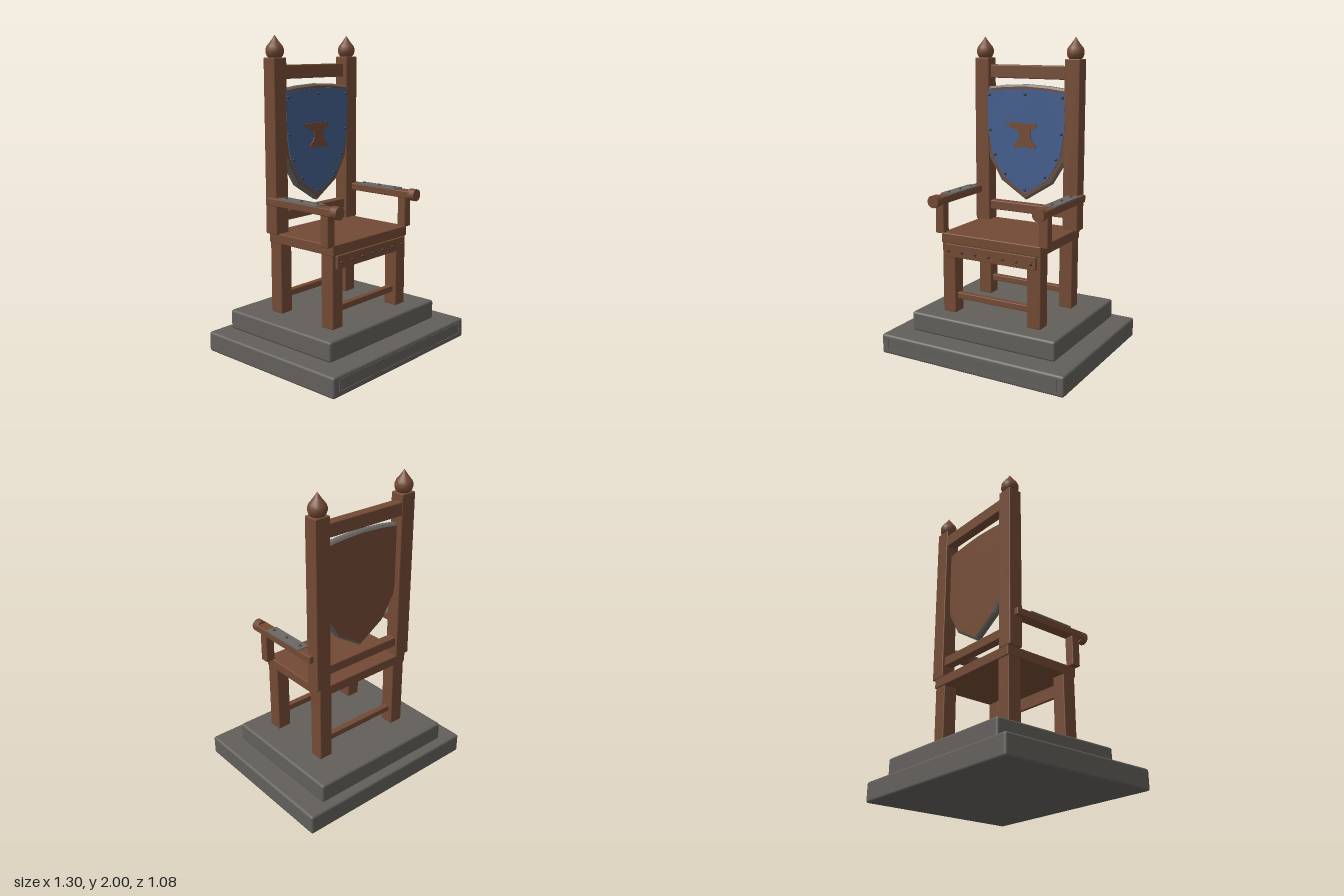
import * as THREE from 'three';
import { RoundedBoxGeometry } from 'three/addons/geometries/RoundedBoxGeometry.js';

const mat = (name, color, extra = {}) => {
  const m = new THREE.MeshStandardMaterial({ color, ...extra });
  m.name = name;
  return m;
};

export function createModel() {
  const model = new THREE.Group();
  model.name = 'throne';
  const wood = mat('wood', 0x734a34);
  const stone = mat('stone', 0x625f5b);
  const iron = mat('iron', 0x696865);
  const blue = mat('blue paint', 0x435d8c);
  const darkIron = mat('dark iron', 0x40342e);

  const add = (name, geometry, material, x = 0, y = 0, z = 0) => {
    const mesh = new THREE.Mesh(geometry, material);
    mesh.name = name;
    mesh.position.set(x, y, z);
    model.add(mesh);
    return mesh;
  };
  // Box given by its limits on each axis, with softened edges when r > 0
  const block = (name, material, [x0, x1], [y0, y1], [z0, z1], r = 0.006) => {
    const size = [x1 - x0, y1 - y0, z1 - z0];
    const geometry = r ? new RoundedBoxGeometry(...size, 2, r) : new THREE.BoxGeometry(...size);
    return add(name, geometry, material, (x0 + x1) / 2, (y0 + y1) / 2, (z0 + z1) / 2);
  };
  const rivetGeometry = new THREE.SphereGeometry(0.01, 10, 8);
  const rivet = (name, material, x, y, z) => add(name, rivetGeometry, material, x, y, z);
  // Closed symmetric shape from its right half, listed top to bottom
  const mirrored = (half) => {
    const left = half.slice(1, -1).reverse().map(([x, y]) => [-x, y]);
    return new THREE.Shape([...half, ...left].reverse().map(([x, y]) => new THREE.Vector2(x, y)));
  };

  // Stepped stone plinth with a raised outline on the front
  block('lowerStep', stone, [-0.65, 0.65], [0, 0.13], [-0.54, 0.54], 0.015);
  block('upperStep', stone, [-0.515, 0.515], [0.13, 0.257], [-0.48, 0.39], 0.015);
  for (const y of [0.035, 0.107])
    block('stepBorder', stone, [-0.605, 0.605], [y - 0.003, y + 0.003], [0.535, 0.544], 0);
  for (const x of [-0.602, 0.602])
    block('stepBorder', stone, [x - 0.003, x + 0.003], [0.035, 0.107], [0.535, 0.544], 0);

  // Seat, apron and stretchers
  block('seat', wood, [-0.357, 0.357], [0.715, 0.78], [-0.272, 0.272]);
  block('apron', wood, [-0.328, 0.328], [0.632, 0.715], [0.262, 0.282], 0.003);
  for (let i = -3; i <= 3; i++) rivet('apronRivet', darkIron, i * 0.0985, 0.67, 0.283);
  for (const z of [-0.218, 0.218])
    block('stretcher', wood, [-0.27, 0.27], [0.345, 0.385], [z - 0.02, z + 0.02], 0.004);

  // Back rails
  block('topRail', wood, [-0.285, 0.285], [1.735, 1.82], [-0.272, -0.208]);
  block('lowerRail', wood, [-0.285, 0.285], [0.85, 0.912], [-0.26, -0.2]);

  // Finial profile: round bulb drawn up to a point
  const finialProfile = [];
  for (let i = 0; i <= 7; i++) {
    const a = -Math.PI / 2 + (i / 7) * Math.PI * 0.78;
    finialProfile.push(new THREE.Vector2(0.057 * Math.cos(a), 0.057 * Math.sin(a)));
  }
  finialProfile[0].x = 0;
  finialProfile.push(new THREE.Vector2(0.018, 0.068), new THREE.Vector2(0, 0.095));
  const finialGeometry = new THREE.LatheGeometry(finialProfile, 14);

  const capGeometry = new THREE.CylinderGeometry(0.04, 0.04, 0.05, 14).rotateX(Math.PI / 2);
  for (const s of [-1, 1]) {
    const span = (c, w) => [s * c - w / 2, s * c + w / 2];
    // Legs and back posts
    block('frontLeg', wood, span(0.307, 0.093), [0.255, 0.72], [0.172, 0.265]);
    block('backLeg', wood, span(0.307, 0.093), [0.255, 0.72], [-0.265, -0.172]);
    block('backPost', wood, span(0.328, 0.105), [0.775, 1.865], [-0.275, -0.18]);
    add('finial', finialGeometry, wood, s * 0.328, 1.905, -0.228);
    // Armrests with riveted iron plates
    block('armSupport', wood, span(0.371, 0.062), [0.772, 0.97], [0.21, 0.27]);
    block('armrest', wood, span(0.372, 0.075), [0.965, 1.012], [-0.24, 0.3]);
    add('armrestEnd', capGeometry, wood, s * 0.372, 0.988, 0.314);
    block('armPlate', iron, span(0.372, 0.078), [1.01, 1.018], [-0.133, 0.19], 0);
    for (const z of [-0.1, 0.03, 0.16]) rivet('armRivet', darkIron, s * 0.372, 1.018, z);
  }

  // Shield: wooden faces with a bevelled iron rim
  const shieldShape = mirrored([
    [0, 1.7], [0.16, 1.692], [0.305, 1.675], [0.31, 1.4], [0.277, 1.21], [0.185, 1.062], [0, 0.945],
  ]);
  const shieldGeometry = new THREE.ExtrudeGeometry(shieldShape, {
    depth: 0.03, bevelEnabled: true, bevelThickness: 0.01, bevelSize: 0.013, bevelOffset: -0.013, bevelSegments: 1,
  });
  add('shield', shieldGeometry, [wood, iron], 0, 0, -0.225);

  // Painted field and its anvil emblem
  const fieldShape = mirrored([
    [0, 1.672], [0.15, 1.667], [0.284, 1.652], [0.28, 1.4], [0.25, 1.235], [0.165, 1.09], [0, 0.985],
  ]);
  const thin = { depth: 0.008, bevelEnabled: false };
  add('shieldField', new THREE.ExtrudeGeometry(fieldShape, thin), blue, 0, 0, -0.186);

  const anvil = new THREE.Shape();
  anvil.moveTo(-0.145, 1.452);
  anvil.quadraticCurveTo(-0.1, 1.41, -0.045, 1.402);
  anvil.quadraticCurveTo(-0.03, 1.34, -0.08, 1.315);
  anvil.lineTo(-0.08, 1.292);
  anvil.lineTo(-0.03, 1.292);
  anvil.quadraticCurveTo(0, 1.305, 0.03, 1.292);
  anvil.lineTo(0.08, 1.292);
  anvil.lineTo(0.08, 1.315);
  anvil.quadraticCurveTo(0.03, 1.34, 0.045, 1.41);
  anvil.lineTo(0.085, 1.425);
  anvil.lineTo(0.085, 1.452);
  anvil.closePath();
  add('anvilEmblem', new THREE.ExtrudeGeometry(anvil, thin), wood, 0, 0, -0.179);

  // Rivets around the shield
  const rivetSpots = [[0.268, 1.625], [0.262, 1.395], [0.226, 1.232], [0.148, 1.11]];
  for (const [x, y] of rivetSpots)
    for (const s of [-1, 1]) rivet('shieldRivet', darkIron, s * x, y, -0.177);
  for (const y of [1.637, 1.012]) rivet('shieldRivet', darkIron, 0, y, -0.177);

  return model;
}
